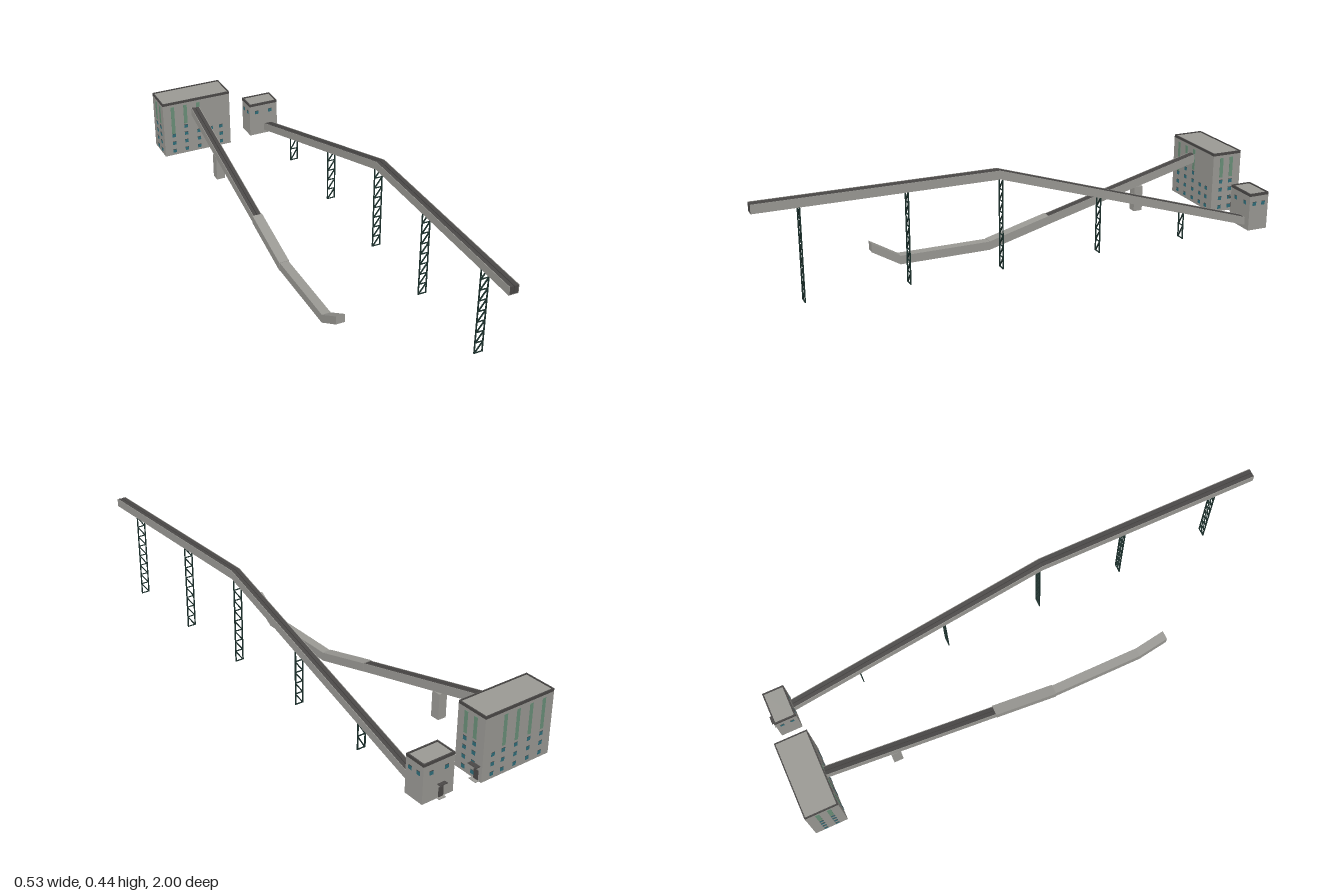
import * as THREE from 'three';

const mat = (name, color, side = THREE.FrontSide) => {
  const m = new THREE.MeshStandardMaterial({ color, side });
  m.name = name;
  return m;
};

export function createModel() {
  const root = new THREE.Group();
  root.name = 'conveyorPlant';
  const wall = mat('concrete grey', 0x9a9994);
  const dark = mat('dark roofing', 0x4a4847);
  const glass = mat('window teal', 0x2f6d7a);
  const strip = mat('glazing green', 0x6a8f78);
  const steel = mat('truss steel', 0x1c302c);
  const GROUND = 0.066;

  const group = (name, parent = root) => {
    const g = new THREE.Group();
    g.name = name;
    parent.add(g);
    return g;
  };
  // box given by its minimum and maximum corners
  const box = (parent, name, m, x0, x1, y0, y1, z0, z1) => {
    const mesh = new THREE.Mesh(new THREE.BoxGeometry(x1 - x0, y1 - y0, z1 - z0), m);
    mesh.position.set((x0 + x1) / 2, (y0 + y1) / 2, (z0 + z1) / 2);
    mesh.name = name;
    parent.add(mesh);
    return mesh;
  };
  // bent beam: path of [z, y] points, thickened from y + lo to y + hi
  const beam = (parent, name, m, x0, x1, path, lo, hi) => {
    const pts = [
      ...path.map(([z, y]) => new THREE.Vector2(-z, y + lo)),
      ...path.map(([z, y]) => new THREE.Vector2(-z, y + hi)).reverse(),
    ];
    const geo = new THREE.ExtrudeGeometry(new THREE.Shape(pts), { depth: x1 - x0, bevelEnabled: false });
    geo.rotateY(Math.PI / 2);
    const mesh = new THREE.Mesh(geo, m);
    mesh.position.x = x0;
    mesh.name = name;
    parent.add(mesh);
  };

  // building shell with a dark parapet around a recessed roof
  const shell = (name, x0, x1, top, z0, z1, rim) => {
    const g = group(name);
    const band = top - 0.0105;
    box(g, 'walls', wall, x0, x1, GROUND, band, z0, z1);
    box(g, 'parapetFront', dark, x0, x1, band, top, z1 - rim, z1);
    box(g, 'parapetBack', dark, x0, x1, band, top, z0, z0 + rim);
    box(g, 'parapetRight', dark, x0, x0 + rim, band, top, z0 + rim, z1 - rim);
    box(g, 'parapetLeft', dark, x1 - rim, x1, band, top, z0 + rim, z1 - rim);
    box(g, 'roof', wall, x0 + rim, x1 - rim, band, top - 0.004, z0 + rim, z1 - rim);
    return g;
  };
  // thin plate on a facade: axis 'x' or 'z', at = facade plane, c = centre along it
  const T = 0.0015;
  const plate = (g, name, m, axis, at, c, y0, y1, w = 0.015) =>
    axis === 'z'
      ? box(g, name, m, c - w / 2, c + w / 2, y0, y1, at - T, at + T)
      : box(g, name, m, at - T, at + T, y0, y1, c - w / 2, c + w / 2);
  const windowAt = (g, axis, at, c, y) => {
    plate(g, 'window', glass, axis, at, c, y - 0.0075, y + 0.0065);
    plate(g, 'windowHead', dark, axis, at, c, y + 0.0065, y + 0.008, 0.016);
  };

  // main building
  const main = shell('mainBuilding', -0.265, 0.033, 0.312, -1, -0.875, 0.004);
  const rows = [0.085, 0.122, 0.158, 0.192];
  const cols = [-0.223, -0.167, -0.11, -0.055, -0.01];
  const frontRows = [3, 4, 4, 3, 3];
  const frontStrips = [0.166, 0.205, 0.205];
  cols.forEach((x, i) => {
    rows.slice(0, frontRows[i]).forEach((y) => windowAt(main, 'z', -0.875, x, y));
    rows.slice(0, 3).forEach((y) => windowAt(main, 'z', -0.999, x, y));
    if (i < 3) plate(main, 'glazingStrip', strip, 'z', -0.875, x, frontStrips[i], 0.291);
    if (i < 4) plate(main, 'glazingStrip', strip, 'z', -0.999, x, 0.175, 0.291);
  });
  for (const x of [-0.265, 0.033]) {
    for (const z of [-0.913, -0.957]) {
      rows.forEach((y) => windowAt(main, 'x', x, z, y));
      plate(main, 'glazingStrip', strip, 'x', x, z, 0.21, 0.291);
    }
  }
  box(main, 'door', dark, 0.033, 0.036, GROUND, 0.105, -0.985, -0.966);
  box(main, 'canopy', dark, 0.033, 0.051, 0.122, 0.1245, -0.992, -0.952);
  box(main, 'doorStep', wall, 0.033, 0.048, GROUND, 0.069, -0.99, -0.958);

  // transfer house
  const house = shell('transferHouse', 0.135, 0.263, 0.214, -0.98, -0.897, 0.005);
  for (const x of [0.168, 0.23]) {
    windowAt(house, 'z', -0.897, x, 0.173);
    windowAt(house, 'z', -0.98, x, 0.173);
  }
  for (const x of [0.135, 0.263])
    for (const z of [-0.918, -0.957]) windowAt(house, 'x', x, z, 0.173);
  box(house, 'door', dark, 0.178, 0.197, GROUND, 0.105, -0.983, -0.98);
  box(house, 'canopy', dark, 0.172, 0.203, 0.118, 0.1205, -0.994, -0.98);
  box(house, 'doorStep', wall, 0.175, 0.202, GROUND, 0.069, -0.992, -0.98);

  // open trough with two dark runs separated by a slot
  const trough = (g, cx, half, path, h) => {
    beam(g, 'floor', wall, cx - half, cx + half, path, 0, 0.002);
    for (const s of [-1, 1]) {
      const side = [cx + s * half, cx + s * (half - 0.002)].sort((a, b) => a - b);
      const run = [cx + s * (half - 0.002), cx + s * 0.0015].sort((a, b) => a - b);
      beam(g, 'sideWall', wall, ...side, path, 0.002, h);
      beam(g, 'darkRun', dark, ...run, path, 0.002, h - 0.001);
    }
  };

  // high gallery
  const high = group('highGallery');
  const highPath = [[1, 0.405], [0.13, 0.405], [-0.9, 0.08]];
  trough(high, 0.2185, 0.018, highPath, 0.032);

  // low gallery: closed tunnel, wider cover, then open trough
  const low = group('lowGallery');
  const lx = -0.1225;
  beam(low, 'tunnel', wall, lx - 0.0175, lx + 0.0175,
    [[0.5, 0.066], [0.39, 0], [0.03, 0], [-0.22, 0.067]], 0, 0.034);
  beam(low, 'cover', wall, lx - 0.02, lx + 0.02, [[0.03, 0], [-0.22, 0.067]], 0.001, 0.0355);
  trough(low, lx, 0.0175, [[-0.22, 0.067], [-0.876, 0.238]], 0.034);
  box(low, 'supportLeg', wall, lx - 0.0175, lx + 0.0175, GROUND, 0.168, -0.637, -0.6);

  // flat lattice towers under the high gallery
  const bar = (g, name, ax, ay, bx, by, z, t) => {
    const len = Math.hypot(bx - ax, by - ay);
    const m = new THREE.Mesh(new THREE.BoxGeometry(len, t, 0.004), steel);
    m.position.set((ax + bx) / 2, (ay + by) / 2, z);
    m.rotation.z = Math.atan2(by - ay, bx - ax);
    m.name = name;
    g.add(m);
  };
  for (const z of [0.84, 0.467, 0.12, -0.266, -0.62]) {
    const g = group('latticeTower');
    const top = z > 0.13 ? 0.406 : 0.405 - (0.13 - z) * 0.3155 + 0.001;
    const [a, b] = [0.203, 0.234];
    bar(g, 'post', a, GROUND, a, top, z, 0.004);
    bar(g, 'post', b, GROUND, b, top, z, 0.004);
    const n = Math.max(2, Math.round((top - GROUND) / 0.0425));
    const step = (top - GROUND) / n;
    for (let i = 0; i < n; i++) {
      const y = GROUND + i * step;
      bar(g, 'crossBar', a, y + 0.0015, b, y + 0.0015, z, 0.003);
      bar(g, 'diagonal', a, y, b, y + step, z, 0.004);
    }
  }
  return root;
}
